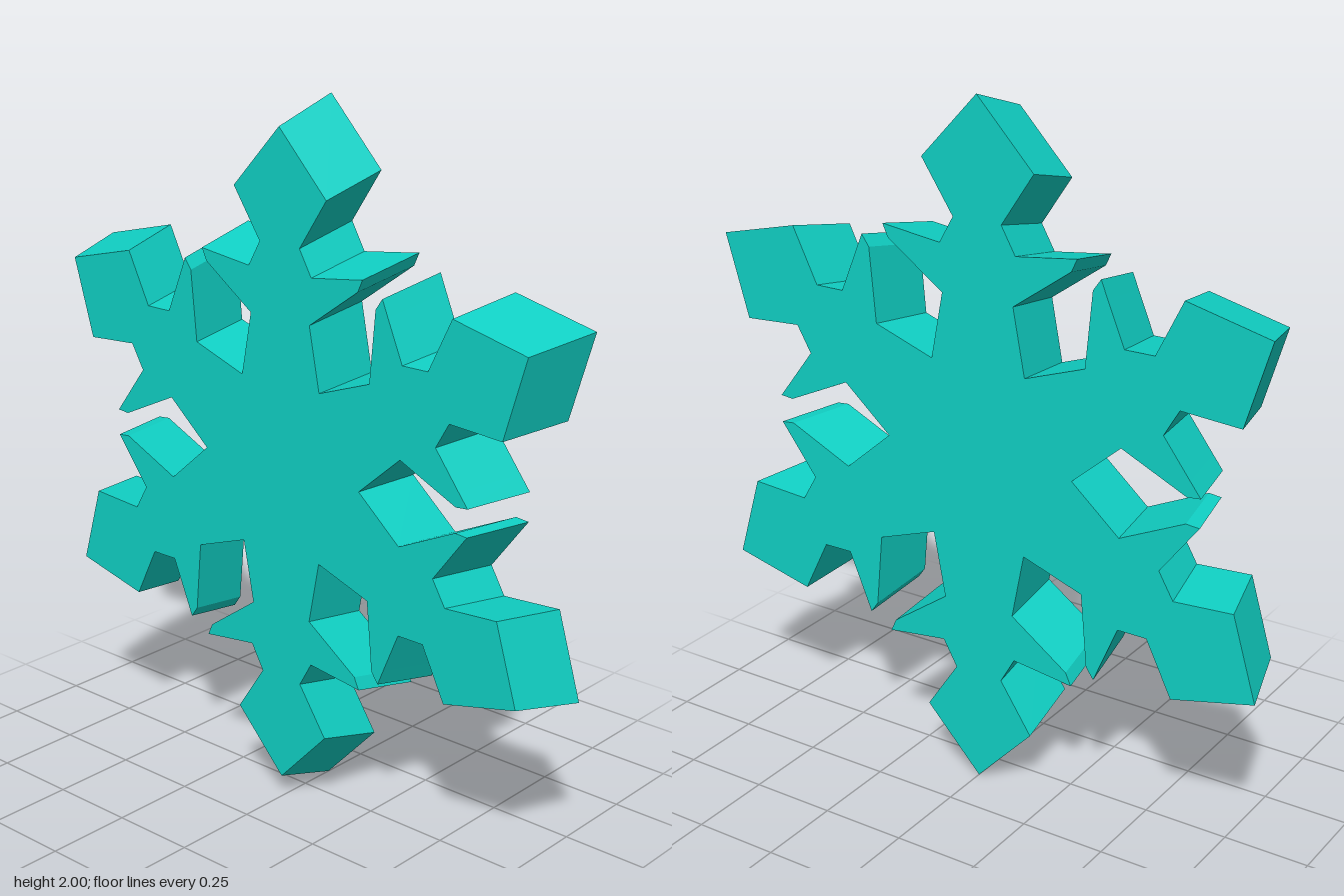
import * as THREE from 'three';

const HALF_DEPTH = 0.103;
const FRONT_SCALE = 0.935;   // the front face is a little smaller than the back
const VALLEY_RADIUS = 0.3;

// Right half of one arm pointing up, from root to shoulder
const HALF_ARM = [
  [0.113, 0.452],            // root
  [0.29, 0.577],             // underside of the side spike
  [0.307, 0.614],            // spike tip
  [0.254, 0.607],            // top of the spike
  [0.12, 0.59],              // notch
  [0.076, 0.667],            // neck
  [0.175, 0.815],            // shoulder
];

// Six mirrored arms with a valley between each pair, counter-clockwise
function snowflakeOutline() {
  const mirrored = HALF_ARM.map(([x, y]) => [-x, y]).reverse();
  const arm = [...HALF_ARM, [0, 1], ...mirrored,
    [-VALLEY_RADIUS * 0.5, VALLEY_RADIUS * Math.sqrt(3) / 2]];
  const centre = new THREE.Vector2();
  const points = [];
  for (let i = 0; i < 6; i++) {
    for (const [x, y] of arm) {
      points.push(new THREE.Vector2(x, y).rotateAround(centre, i * Math.PI / 3));
    }
  }
  return points;
}

export function createModel() {
  const geometry = new THREE.ExtrudeGeometry(new THREE.Shape(snowflakeOutline()), {
    depth: HALF_DEPTH * 2, bevelEnabled: false, steps: 1,
  });
  geometry.translate(0, 0, -HALF_DEPTH);

  // Taper the slab towards the front
  const pos = geometry.attributes.position;
  for (let i = 0; i < pos.count; i++) {
    const s = pos.getZ(i) > 0 ? FRONT_SCALE : 1;
    pos.setXY(i, pos.getX(i) * s, pos.getY(i) * s);
  }
  geometry.translate(0, 1, 0);
  geometry.computeVertexNormals();

  const snowflake = new THREE.Mesh(geometry,
    new THREE.MeshStandardMaterial({ color: 0x10d0c4, flatShading: true }));
  snowflake.name = 'snowflake';

  const group = new THREE.Group();
  group.name = 'snowflakeOrnament';
  group.add(snowflake);
  return group;
}
